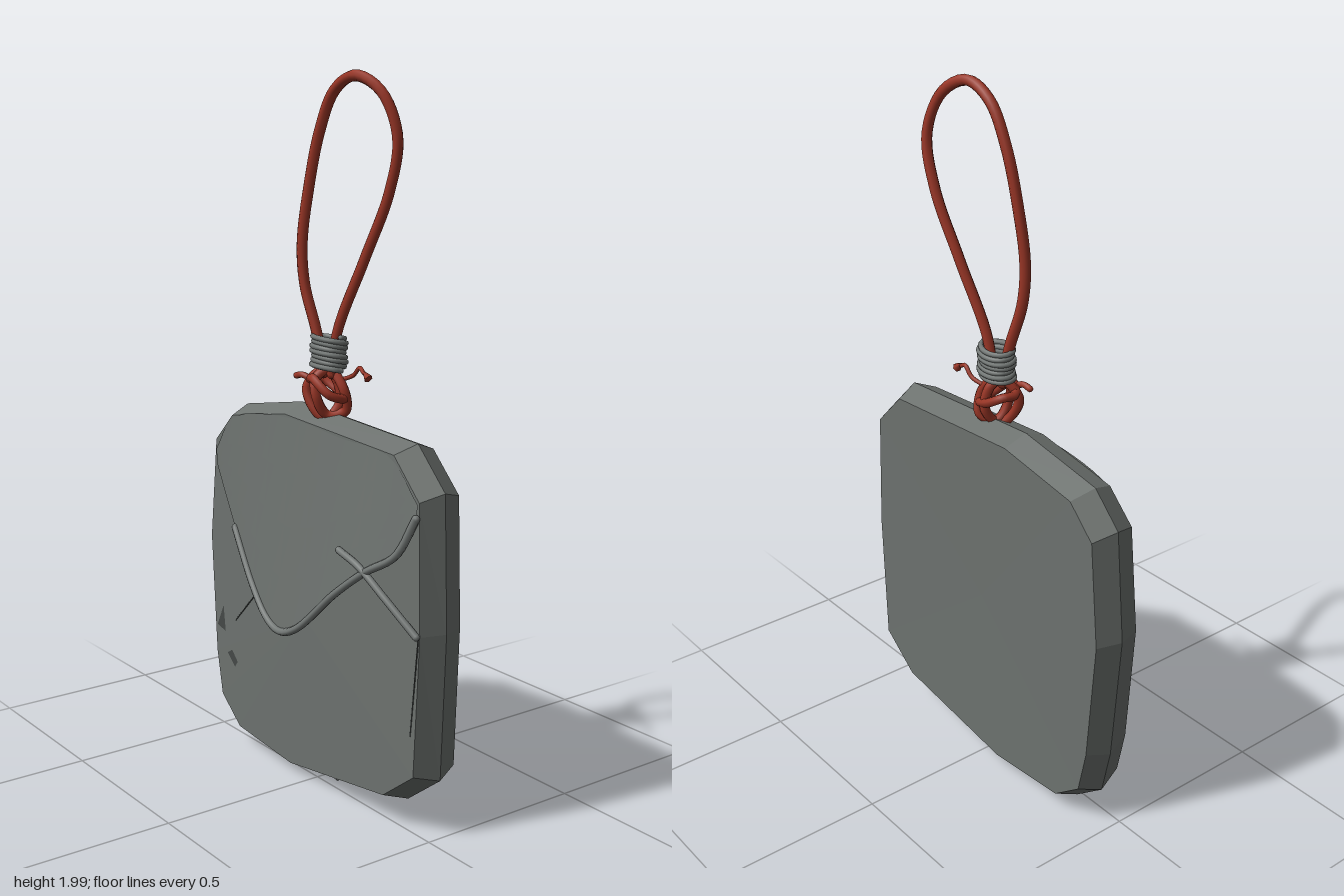
import * as THREE from 'three';

const stone = new THREE.MeshStandardMaterial({ color: 0x6d726f, flatShading: true, side: THREE.DoubleSide });
stone.name = 'slateGrey';
const wire = new THREE.MeshStandardMaterial({ color: 0x737876 });
wire.name = 'wireGrey';
const red = new THREE.MeshStandardMaterial({ color: 0x9a3626, side: THREE.DoubleSide });
red.name = 'cordRed';
const dark = new THREE.MeshStandardMaterial({ color: 0x454947, side: THREE.DoubleSide });
dark.name = 'chipDark';

const curveOf = (pts, closed = false) =>
  new THREE.CatmullRomCurve3(pts.map(p => new THREE.Vector3(...p)), closed);

function add(group, name, geometry, material) {
  const mesh = new THREE.Mesh(geometry, material);
  mesh.name = name;
  group.add(mesh);
  return mesh;
}

// Round strand along a smooth path, with a closed rounded tip at each open end
function strand(group, name, pts, radius, material, closed = false, steps = 48) {
  const curve = curveOf(pts, closed);
  add(group, name, new THREE.TubeGeometry(curve, steps, radius, 8, closed), material);
  if (closed) return;
  for (const t of [0, 1]) {
    add(group, name + 'Tip', new THREE.SphereGeometry(radius, 8, 6), material)
      .position.copy(curve.getPoint(t));
  }
}

// Indexed surface helper
function surface(points, index) {
  const g = new THREE.BufferGeometry();
  g.setAttribute('position', new THREE.Float32BufferAttribute(points.flat(), 3));
  g.setIndex(index);
  g.computeVertexNormals();
  return g;
}

// Irregular slab: widest at a middle ridge, bevelled to front and back faces
function slabGeometry() {
  const outline = [
    [-0.52, 0.63], [-0.49, 0.25], [-0.46, 0.11], [-0.36, 0.03], [-0.08, 0.005], [0.37, 0.07],
    [0.5, 0.17], [0.515, 0.58], [0.5, 0.95], [0.39, 1.06], [-0.12, 1.09], [-0.4, 1.04], [-0.49, 0.95]
  ];
  const n = outline.length;
  const ring = (s, z) => outline.map(([x, y]) => [x * s, 0.55 + (y - 0.55) * s, z(x, y)]);
  const points = [
    ...ring(0.95, () => -0.103),
    ...ring(1, () => -0.035),
    ...ring(0.95, (x, y) => 0.042 - 0.01 * y - 0.006 * x),
    [0, 0.55, -0.098], [0, 0.5, 0.046]
  ];
  const index = [];
  for (let i = 0; i < n; i++) {
    const j = (i + 1) % n;
    for (const r of [0, n]) index.push(r + i, r + j, r + n + j, r + i, r + n + j, r + n + i);
    index.push(3 * n, j, i, 3 * n + 1, 2 * n + i, 2 * n + j);
  }
  return surface(points, index);
}

// Raised envelope flap lofted from the upper rim to its pointed lower edge
function flapGeometry(lowerPts) {
  const lower = curveOf(lowerPts);
  const upper = curveOf([
    [-0.46, 0.9, 0.04], [-0.38, 1.005, 0.036], [-0.12, 1.055, 0.034], [0.15, 1.04, 0.032],
    [0.36, 1.025, 0.031], [0.475, 0.925, 0.034]
  ]);
  const cols = 30, rows = 4, points = [], index = [];
  for (let r = 0; r <= rows; r++) {
    for (let c = 0; c <= cols; c++) {
      const p = lower.getPointAt(c / cols).lerp(upper.getPointAt(c / cols), r / rows);
      points.push([p.x, p.y, p.z]);
      if (r < rows && c < cols) {
        const a = r * (cols + 1) + c, b = a + cols + 1;
        index.push(a, a + 1, b + 1, a, b + 1, b);
      }
    }
  }
  return surface(points, index);
}

export function createModel() {
  const model = new THREE.Group();
  model.name = 'pouchCharm';

  // Body and flap
  add(model, 'slab', slabGeometry(), stone);
  const edge = [
    [-0.45, 0.85, 0.042], [-0.33, 0.69, 0.06], [-0.21, 0.55, 0.08], [-0.12, 0.475, 0.092],
    [-0.05, 0.455, 0.097], [0.03, 0.485, 0.096], [0.19, 0.625, 0.084], [0.31, 0.715, 0.074],
    [0.42, 0.785, 0.058], [0.475, 0.89, 0.04]
  ];
  add(model, 'flap', flapGeometry(edge), stone);

  // Wires laid over the flap
  strand(model, 'flapEdgeWire', edge.slice(1), 0.011, wire);
  strand(model, 'crossWire',
    [[0.2, 0.75, 0.076], [0.29, 0.725, 0.077], [0.38, 0.665, 0.066], [0.485, 0.58, 0.042]], 0.01, wire);

  // Fine creases on the front
  strand(model, 'lowerCrease',
    [[-0.37, 0.22, 0.04], [-0.27, 0.135, 0.04], [-0.06, 0.095, 0.04], [0.15, 0.06, 0.038]], 0.002, dark);
  strand(model, 'sideCrease', [[-0.36, 0.39, 0.042], [-0.2, 0.55, 0.045]], 0.002, dark);
  strand(model, 'rightCrease', [[0.485, 0.58, 0.034], [0.46, 0.3, 0.036]], 0.002, dark);

  // Small dark chips
  const chips = [
    [[-0.46, 0.35], [-0.415, 0.34], [-0.425, 0.42]],
    [[-0.405, 0.275], [-0.365, 0.24], [-0.35, 0.26], [-0.38, 0.29]]
  ];
  for (const pts of chips) {
    const shape = new THREE.Shape(pts.map(p => new THREE.Vector2(...p)));
    add(model, 'chip', new THREE.ShapeGeometry(shape), dark).position.z = 0.044;
  }

  // Hanging loop
  strand(model, 'cordLoop', [
    [0.0, 1.19, -0.02], [-0.025, 1.3, -0.015], [-0.06, 1.43, 0.0], [-0.066, 1.54, 0.004],
    [-0.045, 1.69, -0.003], [-0.005, 1.84, -0.01], [0.055, 1.945, -0.014], [0.14, 1.982, -0.02],
    [0.215, 1.94, -0.045], [0.249, 1.83, -0.07], [0.215, 1.69, -0.073], [0.135, 1.51, -0.055],
    [0.05, 1.31, -0.03], [0.025, 1.19, -0.03]
  ], 0.015, red, false, 90);

  // Wire binding wound around the cord
  const coil = [];
  for (let i = 0, turns = 7; i <= turns * 12; i++) {
    const a = i / 12 * Math.PI * 2;
    const wobble = 1 + 0.07 * Math.sin(i * 0.37);
    coil.push([0.015 + 0.055 * wobble * Math.cos(a), 1.205 + i / (turns * 12) * 0.09 + 0.006 * Math.sin(a),
      -0.027 + 0.037 * wobble * Math.sin(a)]);
  }
  strand(model, 'wireBinding', coil, 0.0075, wire, false, 260);

  // Knot: two links into the slab top and a crossing wrap
  strand(model, 'knotLinkLeft',
    [[0.0, 1.2, -0.02], [-0.035, 1.15, 0.01], [-0.012, 1.09, 0.002], [0.015, 1.065, -0.02],
      [0.03, 1.11, -0.055], [0.02, 1.18, -0.045]], 0.014, red, true);
  strand(model, 'knotLinkRight',
    [[0.015, 1.2, -0.03], [0.06, 1.15, -0.045], [0.055, 1.09, -0.055], [0.02, 1.075, -0.02],
      [0.01, 1.13, 0.012], [0.0, 1.18, 0.005]], 0.014, red, true);
  strand(model, 'knotWrap',
    [[-0.04, 1.165, -0.01], [0.01, 1.18, 0.022], [0.062, 1.14, 0.005], [0.06, 1.125, -0.05],
      [0.01, 1.14, -0.062], [-0.035, 1.165, -0.045]], 0.013, red, true);

  // Loose cord ends
  strand(model, 'looseEndRight',
    [[0.03, 1.17, -0.04], [0.08, 1.19, -0.06], [0.11, 1.215, -0.06], [0.135, 1.205, -0.055]], 0.006, red);
  const tuft = add(model, 'frayedTip', new THREE.ConeGeometry(0.013, 0.035, 6), red);
  tuft.position.set(0.143, 1.203, -0.054);
  tuft.rotation.z = 0.9;
  strand(model, 'looseEndLeft',
    [[0.0, 1.17, 0.01], [-0.035, 1.185, 0.025], [-0.06, 1.18, 0.028]], 0.009, red);

  return model;
}
